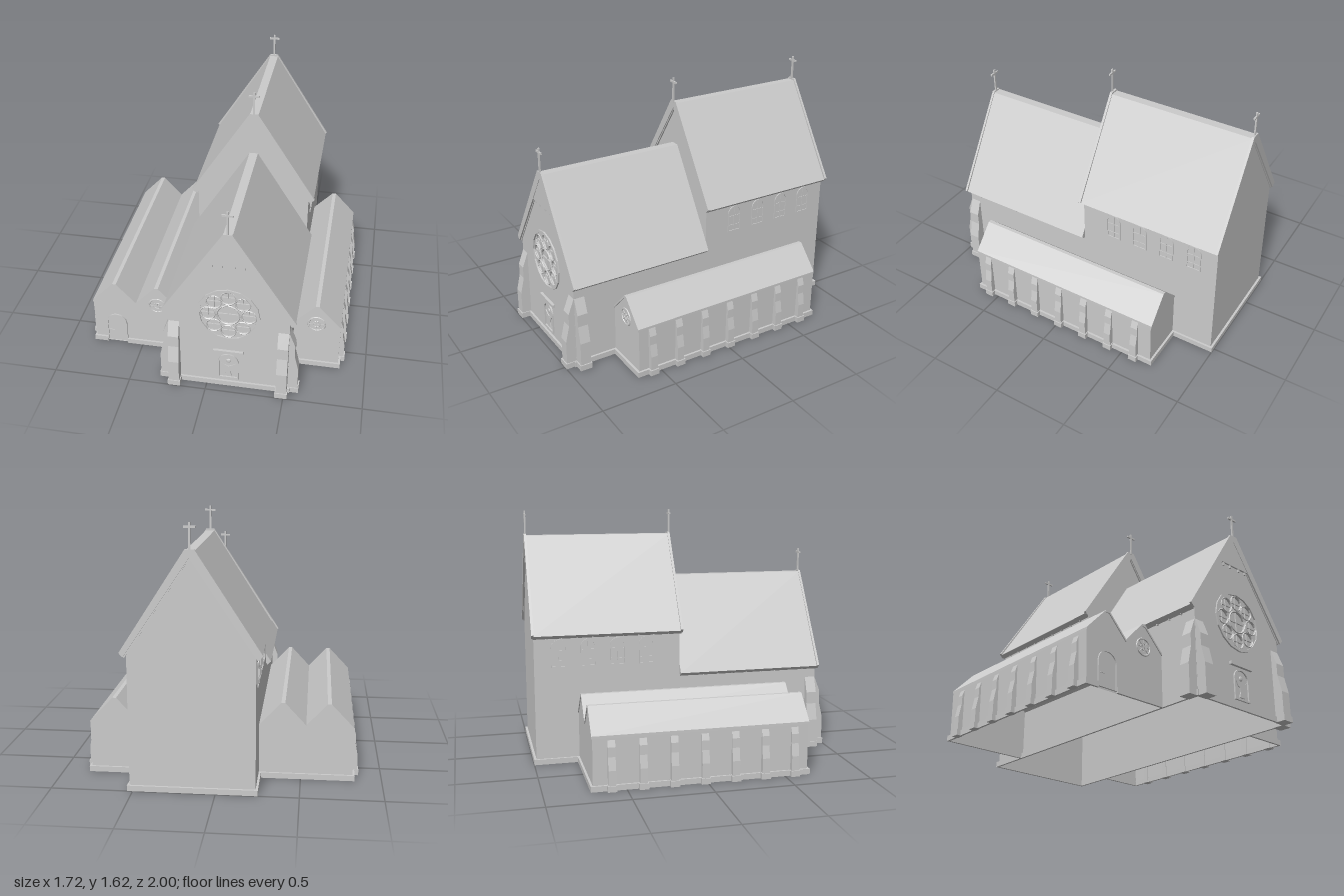
import * as THREE from 'three';

const mat = new THREE.MeshStandardMaterial({ color: 0xcccccc, flatShading: true, side: THREE.DoubleSide });
const CX = 0.14; // nave axis

const poly = (pts) => new THREE.Shape(pts.map(([x, y]) => new THREE.Vector2(x, y)));
const circle = (Type, x, y, r) => new Type().absarc(x, y, r, 0, Math.PI * 2, false);

// round-headed outline, standing on y = y0
function arch(Type, w, h, y0 = 0) {
  const s = new Type();
  s.moveTo(-w / 2, y0);
  s.lineTo(w / 2, y0);
  s.absarc(0, h - w / 2, w / 2, 0, Math.PI, false);
  s.lineTo(-w / 2, y0);
  return s;
}

export function createModel() {
  const root = new THREE.Group();
  root.name = 'church';

  function add(parent, name, geo, x = 0, y = 0, z = 0) {
    const m = new THREE.Mesh(geo, mat);
    m.name = name;
    m.position.set(x, y, z);
    parent.add(m);
    return m;
  }
  const group = (name, x = 0, y = 0, z = 0, ry = 0) => {
    const g = new THREE.Group();
    g.name = name;
    g.position.set(x, y, z);
    g.rotation.y = ry;
    root.add(g);
    return g;
  };
  const box = (p, name, x0, x1, y0, y1, z0, z1) =>
    add(p, name, new THREE.BoxGeometry(x1 - x0, y1 - y0, z1 - z0), (x0 + x1) / 2, (y0 + y1) / 2, (z0 + z1) / 2);
  const slab = (p, name, shape, z0, z1, segs = 8) =>
    add(p, name, new THREE.ExtrudeGeometry(shape, { depth: z1 - z0, bevelEnabled: false, curveSegments: segs }), 0, 0, z0);

  // thin walls swept along z from an open outline
  function sweep(p, name, pts, z0, z1) {
    const v = [];
    for (let i = 0; i < pts.length - 1; i++) {
      const [a, b] = pts[i], [c, d] = pts[i + 1];
      v.push(a, b, z0, a, b, z1, c, d, z1, a, b, z0, c, d, z1, c, d, z0);
    }
    const g = new THREE.BufferGeometry();
    g.setAttribute('position', new THREE.Float32BufferAttribute(v, 3));
    g.computeVertexNormals();
    add(p, name, g);
  }

  // ---- nave and tall choir walls
  const outline = (peak, base) => [
    [CX - 0.38, base], [CX - 0.38, peak - 0.625], [CX, peak - 0.045], [CX + 0.38, peak - 0.625], [CX + 0.38, base]];
  const walls = group('mainWalls');
  const side = (x, name, top, z0, z1) => sweep(walls, name, [[x, 0], [x, top]], z0, z1);
  for (const x of [CX - 0.38, CX + 0.38]) {
    side(x, 'naveSideWall', 0.56, -0.03, 0.93);
    side(x, 'choirSideWall', 0.845, -0.985, -0.03);
  }
  const frontWall = poly(outline(1.18, 0));
  frontWall.holes.push(circle(THREE.Path, CX, 0.575, 0.18));
  add(walls, 'frontWall', new THREE.ShapeGeometry(frontWall, 8), 0, 0, 0.93);
  add(walls, 'choirFrontGable', new THREE.ShapeGeometry(poly(outline(1.465, 0.56))), 0, 0, -0.03);
  add(walls, 'backWall', new THREE.ShapeGeometry(poly(outline(1.465, 0))), 0, 0, -0.985);

  // ---- steep roofs with raised gable edges
  const roofShape = (peak, e) => poly([
    [CX - 0.41 - e, peak - 0.61], [CX - 0.028, peak], [CX + 0.028, peak], [CX + 0.41 + e, peak - 0.61],
    [CX + 0.385 + e, peak - 0.63 - e / 2], [CX, peak - 0.045], [CX - 0.385 - e, peak - 0.63 - e / 2]]);
  const roofs = group('roofs');
  slab(roofs, 'naveRoof', roofShape(1.172, 0.005), -0.03, 0.935);
  slab(roofs, 'naveGableEdge', roofShape(1.18, 0.012), 0.93, 0.945);
  slab(roofs, 'choirRoof', roofShape(1.457, 0.005), -0.99, -0.02);
  for (const z of [-0.03, -1]) slab(roofs, 'choirGableEdge', roofShape(1.467, 0.012), z, z + 0.016);
  slab(roofs, 'gablePanel', poly([[CX - 0.13, 0.955], [CX + 0.13, 0.955], [CX, 1.15]]), 0.925, 0.942);

  // small brackets under the eaves and the gable panel
  const brackets = group('brackets');
  for (const s of [-1, 1]) for (let i = 0; i < 9; i++) {
    const x = CX + s * 0.387;
    box(brackets, 'naveBracket', x - 0.008, x + 0.008, 0.537, 0.56, 0.826 - i * 0.1, 0.834 - i * 0.1);
    box(brackets, 'choirBracket', x - 0.008, x + 0.008, 0.825, 0.845, -0.112 - i * 0.1, -0.104 - i * 0.1);
  }
  for (const dx of [-0.1, -0.04, 0.04, 0.1])
    box(brackets, 'panelBracket', CX + dx - 0.006, CX + dx + 0.006, 0.935, 0.956, 0.928, 0.94);

  // ---- crosses on the ridges
  for (const [y, z] of [[1.17, 0.938], [1.455, -0.015], [1.455, -0.99]]) {
    const c = group('ridgeCross', CX, y, z);
    box(c, 'crossPost', -0.006, 0.006, 0, 0.165, -0.005, 0.005);
    box(c, 'crossBar', -0.035, 0.035, 0.132, 0.144, -0.005, 0.005);
  }

  // ---- rose window
  const rose = group('roseWindow', CX, 0.575, 0.93);
  const ring = circle(THREE.Shape, 0, 0, 0.198);
  ring.holes.push(circle(THREE.Path, 0, 0, 0.18));
  slab(rose, 'roseRim', ring, -0.02, 0.01);
  const tracery = circle(THREE.Shape, 0, 0, 0.182);
  tracery.holes.push(circle(THREE.Path, 0, 0, 0.068));
  const petals = [];
  for (let i = 0; i < 8; i++) {
    const a = i * Math.PI / 4, x = 0.128 * Math.cos(a), y = 0.128 * Math.sin(a);
    petals.push([x, y, 0.045]);
    tracery.holes.push(circle(THREE.Path, x, y, 0.045));
    add(rose, 'petalRing', new THREE.TorusGeometry(0.047, 0.004, 4, 16), x, y, 0);
  }
  slab(rose, 'roseTracery', tracery, -0.012, 0);
  add(rose, 'centreRing', new THREE.TorusGeometry(0.071, 0.005, 4, 20), 0, 0, 0);
  add(rose, 'roseGlass', new THREE.CircleGeometry(0.182, 16), 0, 0, -0.014);
  for (const [x, y, r] of [...petals, [0, 0, 0.068]]) {
    box(rose, 'glazingBar', x - r, x + r, y - 0.002, y + 0.002, -0.014, -0.006);
    box(rose, 'glazingBar', x - 0.002, x + 0.002, y - r, y + r, -0.014, -0.006);
  }

  // ---- carved niche below the rose window
  const niche = group('niche', CX, 0.06, 0.93);
  const nicheFrame = arch(THREE.Shape, 0.13, 0.2);
  nicheFrame.holes.push(arch(THREE.Path, 0.112, 0.19, 0.01));
  slab(niche, 'nicheFrame', nicheFrame, -0.005, 0.01);
  box(niche, 'nicheLintel', -0.095, 0.095, 0.212, 0.232, -0.005, 0.018);
  slab(niche, 'figureBody', poly([[-0.022, 0.02], [0.022, 0.02], [0.012, 0.055], [0.02, 0.1], [-0.02, 0.1], [-0.012, 0.055]]), -0.002, 0.007);
  add(niche, 'figureHead', new THREE.SphereGeometry(0.016, 10, 8), 0, 0.142, 0).scale.z = 0.4;
  for (const s of [-1, 1])
    slab(niche, 'figureArm', poly([[0, 0.075], [s * 0.03, 0.09], [s * 0.048, 0.125], [s * 0.025, 0.11], [0, 0.1]]), -0.002, 0.006);

  // ---- arched choir windows, four per side
  for (const s of [-1, 1]) for (let i = 0; i < 4; i++) {
    const w = group('choirWindow', CX + s * 0.38, 0.635, -0.253 - i * 0.191, s * Math.PI / 2);
    const frame = arch(THREE.Shape, 0.1, 0.182);
    frame.holes.push(arch(THREE.Path, 0.084, 0.174, 0.008));
    slab(w, 'windowFrame', frame, -0.005, 0.006);
    box(w, 'mullion', -0.004, 0.004, 0, 0.175, -0.003, 0.004);
    for (const y of [0.045, 0.11]) box(w, 'transom', -0.045, 0.045, y - 0.003, y + 0.003, -0.003, 0.004);
  }

  // ---- low aisles: walls, roofs, buttresses, round windows
  const AZ0 = -0.705, AZ1 = 0.65;
  function aisle(name, pts, x0) {
    const g = group(name);
    const cap = poly([...pts, [x0, 0]]);
    sweep(g, 'aisleOuterWall', pts.slice(0, 2), AZ0, AZ1);
    for (const z of [AZ0, AZ1]) add(g, 'aisleEndWall', new THREE.ShapeGeometry(cap), 0, 0, z);
    const top = pts.slice(1);
    const under = top.map(([x, y]) => [x, y - 0.015]).reverse();
    slab(g, 'aisleRoof', poly([...top, ...under]), AZ0 - 0.005, AZ1 + 0.006);
    return g;
  }
  const right = aisle('plusSideAisle', [[0.82, 0], [0.822, 0.335], [0.677, 0.49], [0.653, 0.49], [0.52, 0.35]], 0.52);
  const left = aisle('minusSideAisle', [[-0.82, 0], [-0.825, 0.34], [-0.683, 0.49], [-0.659, 0.49],
    [-0.53, 0.35], [-0.4, 0.49], [-0.376, 0.49], [-0.24, 0.345]], -0.24);
  for (const [g, x] of [[right, 0.665], [left, -0.388]]) {
    add(g, 'roundWindowRim', new THREE.TorusGeometry(0.053, 0.006, 6, 20), x, 0.345, AZ1);
    for (let i = 0; i < 4; i++)
      add(g, 'roundWindowBar', new THREE.BoxGeometry(0.1, 0.004, 0.008), x, 0.345, AZ1).rotation.z = i * Math.PI / 4;
    add(g, 'roundWindowCentre', new THREE.TorusGeometry(0.022, 0.003, 4, 14), x, 0.345, AZ1);
  }

  // aisle door
  const door = group('aisleDoor', -0.672, 0.01, AZ1);
  const doorFrame = arch(THREE.Shape, 0.138, 0.225);
  doorFrame.holes.push(arch(THREE.Path, 0.124, 0.218, -0.0));
  slab(door, 'doorFrame', doorFrame, -0.005, 0.01);
  slab(door, 'doorLeaf', arch(THREE.Shape, 0.126, 0.218), -0.004, 0.003);
  box(door, 'doorHandle', -0.055, -0.02, 0.084, 0.09, 0, 0.008);

  // ---- stepped buttresses, outward along local +x
  function buttress(name, x, z, ry, prof, w) {
    const b = group(name, x, 0, z, ry);
    slab(b, 'buttressShaft', poly([[-0.005, 0], ...prof, [-0.005, prof[prof.length - 1][1]]]), -w / 2, w / 2);
    box(b, 'buttressFoot', 0, prof[0][0] + 0.007, 0, 0.037, -w / 2 - 0.006, w / 2 + 0.006);
  }
  const small = [[0.033, 0], [0.033, 0.13], [0.018, 0.21], [0.018, 0.27], [0, 0.325]];
  const big = [[0.063, 0], [0.063, 0.19], [0.038, 0.3], [0.038, 0.38], [0, 0.48]];
  for (const s of [-1, 1]) {
    const turn = s > 0 ? 0 : Math.PI;
    for (let i = 0; i < 7; i++) buttress('aisleButtress', s * 0.82, 0.56 - i * 0.192, turn, small, 0.046);
    buttress('naveSideButtress', CX + s * 0.38, 0.893, turn, big, 0.068);
    buttress('naveFrontButtress', CX + s * 0.345, 0.93, -Math.PI / 2, big, 0.068);
  }

  // ---- plinth strips round the foot of the walls
  const plinth = group('plinth');
  const H = 0.035, T = 0.014;
  for (const s of [-1, 1]) {
    const x = CX + s * 0.38, ax = s * 0.82;
    box(plinth, 'naveSidePlinth', Math.min(x, x + s * T), Math.max(x, x + s * T), 0, H, -1, 0.944);
    box(plinth, 'aisleSidePlinth', Math.min(ax, ax + s * T), Math.max(ax, ax + s * T), 0, H, AZ0 - T, AZ1 + T);
    const a = Math.min(x, ax), b = Math.max(x, ax);
    box(plinth, 'aisleBackPlinth', a, b, 0, H, AZ0 - T, AZ0);
    if (s > 0) box(plinth, 'aisleFrontPlinth', a, b, 0, H, AZ1, AZ1 + T);
  }
  // front strips stop either side of the door
  box(plinth, 'aisleFrontPlinth', -0.82, -0.741, 0, H, AZ1, AZ1 + T);
  box(plinth, 'aisleFrontPlinth', -0.603, -0.24, 0, H, AZ1, AZ1 + T);
  box(plinth, 'naveFrontPlinth', CX - 0.38, CX + 0.38, 0, H, 0.93, 0.944);
  box(plinth, 'backPlinth', CX - 0.38, CX + 0.38, 0, H, -1, -0.985);

  return root;
}
